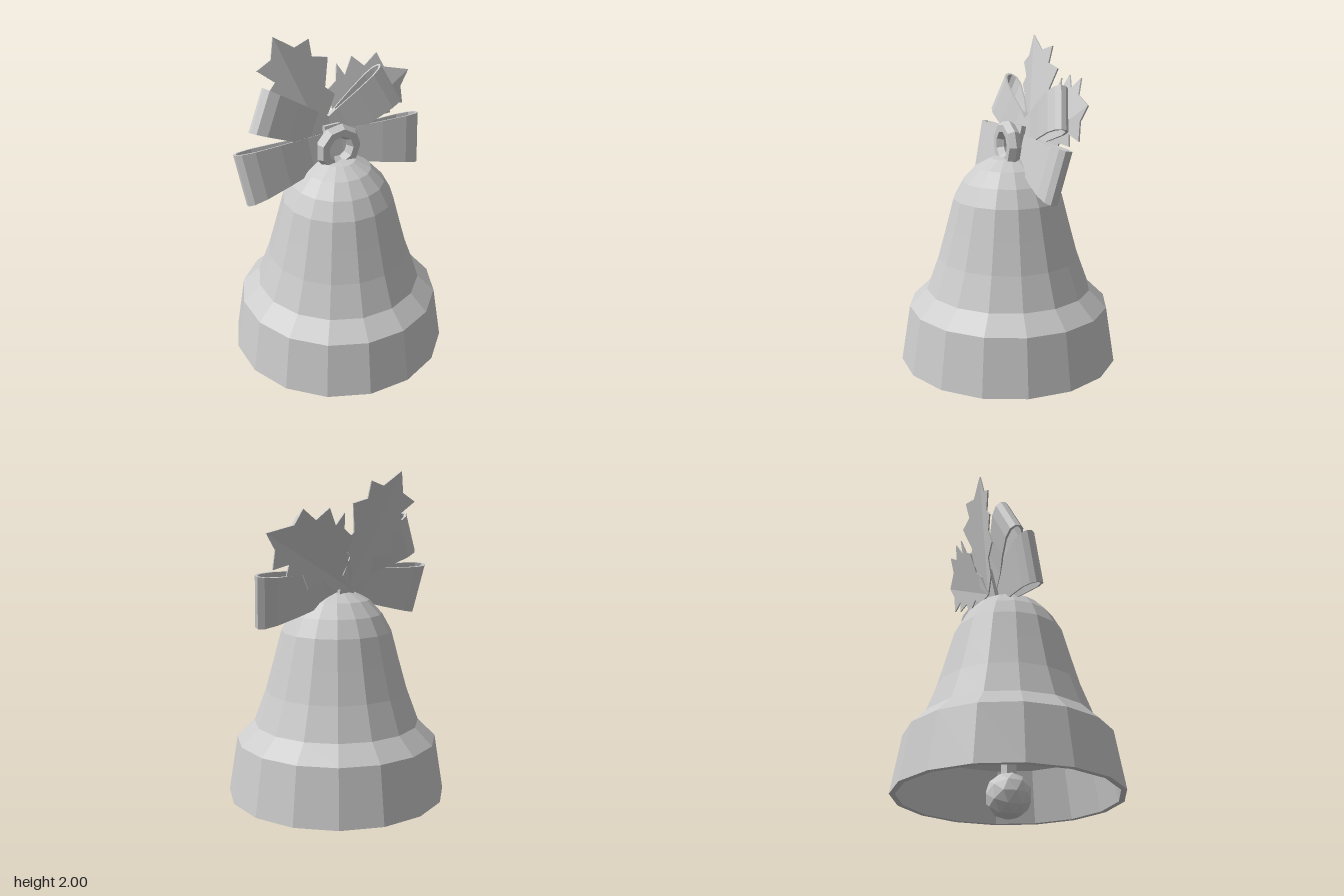
import * as THREE from 'three';

const material = new THREE.MeshStandardMaterial({ color: 0xcccccc, flatShading: true, side: THREE.DoubleSide });
const vec = ([x, y]) => new THREE.Vector2(x, y);

function add(parent, name, geometry, x = 0, y = 0, z = 0) {
  const mesh = new THREE.Mesh(geometry, material);
  mesh.name = name;
  mesh.position.set(x, y, z);
  parent.add(mesh);
  return mesh;
}

// Ribbon loop along +x: a hollow lens outline, extruded and widened towards its outer end
function loopGeometry(length, innerWidth, outerWidth) {
  const half = [[0, 0.014], [0.25, 0.02], [0.55, 0.042], [0.82, 0.052], [0.95, 0.04], [1, 0.014]];
  const outline = (pts) => [...pts, ...pts.slice().reverse().map(([x, y]) => [x, -y])].map(vec);
  const shape = new THREE.Shape(outline(half.map(([x, y]) => [x * length, y])));
  const inner = half.slice(1).map(([x, y]) => [x * length - 0.012, Math.max(y - 0.011, 0.008)]);
  shape.holes.push(new THREE.Path(outline(inner)));
  const geometry = new THREE.ExtrudeGeometry(shape, { depth: 1, bevelEnabled: false });
  geometry.translate(0, 0, -0.5).rotateX(Math.PI / 2);
  const p = geometry.attributes.position;
  for (let i = 0; i < p.count; i++) {
    const t = p.getX(i) / length;
    p.setY(i, p.getY(i) * THREE.MathUtils.lerp(innerWidth, outerWidth, t));
  }
  geometry.computeVertexNormals();
  return geometry;
}

// Spiky leaf: two thin halves folded back from the midrib (base to tip)
function addLeaf(parent, name, base, tip, sides) {
  const leaf = new THREE.Group();
  leaf.name = name;
  const dir = vec(tip).sub(vec(base)).normalize();
  for (const side of sides) {
    const shape = new THREE.Shape([base, ...side, tip].map(vec));
    const geometry = new THREE.ExtrudeGeometry(shape, { depth: 0.008, bevelEnabled: false });
    const p = geometry.attributes.position;
    for (let i = 0; i < p.count; i++) {
      const away = Math.abs((p.getX(i) - base[0]) * dir.y - (p.getY(i) - base[1]) * dir.x);
      p.setZ(i, p.getZ(i) - 0.14 * away);
    }
    geometry.translate(0, -1.4, 0).scale(1, 1.045, 1);
    geometry.computeVertexNormals();
    add(leaf, 'leafHalf', geometry, 0, 0, -0.06);
  }
  parent.add(leaf);
}

export function createModel() {
  const model = new THREE.Group();
  model.name = 'bell';

  // Bell shell: up the inside, round the rim, up the outside
  const profile = [
    [0, 1.29], [0.18, 1.22], [0.29, 1.04], [0.38, 0.7], [0.45, 0.52], [0.55, 0.43], [0.61, 0.12],
    [0.642, 0.12], [0.588, 0.45], [0.485, 0.55], [0.415, 0.74], [0.365, 0.92],
    [0.32, 1.09], [0.265, 1.19], [0.19, 1.27], [0.1, 1.32], [0, 1.33],
  ];
  add(model, 'bellShell', new THREE.LatheGeometry(profile.map(vec), 16, THREE.MathUtils.degToRad(10)));

  // Clapper
  add(model, 'clapperBall', new THREE.IcosahedronGeometry(0.13, 1), 0, 0.13, 0);
  add(model, 'clapperRod', new THREE.CylinderGeometry(0.045, 0.045, 1.05, 6), 0, 0.75, 0);

  // Hanging ring
  add(model, 'hangingRing', new THREE.TorusGeometry(0.1, 0.042, 6, 9), 0, 1.395, 0.005);

  // Bow and leaves lean back together
  const bow = new THREE.Group();
  bow.name = 'bow';
  bow.position.set(0, 1.4, -0.08);
  bow.rotation.x = -0.22;
  model.add(bow);

  add(bow, 'knot', new THREE.BoxGeometry(0.1, 0.2, 0.08));
  const lower = loopGeometry(0.575, 0.17, 0.3);
  const upper = loopGeometry(0.475, 0.17, 0.25);
  for (const left of [true, false]) {
    const angle = (a) => (left ? a : Math.PI - a);
    const side = left ? 'left' : 'right';
    add(bow, side + 'LowerLoop', lower, 0, -0.03, 0).rotation.z = angle(-0.12);
    add(bow, side + 'UpperLoop', upper, 0, 0.045, -0.005).rotation.z = angle(0.47);
  }

  addLeaf(bow, 'rightLeaf', [0, 1.36], [-0.25, 1.995], [
    [[-0.12, 1.42], [-0.13, 1.53], [-0.26, 1.56], [-0.23, 1.65], [-0.31, 1.71],
      [-0.265, 1.76], [-0.36, 1.835], [-0.275, 1.88]],
    [[0.07, 1.44], [0.04, 1.54], [0.1, 1.63], [0.04, 1.68], [0.085, 1.835],
      [-0.02, 1.855], [-0.025, 1.95], [-0.125, 1.92]],
  ]);
  addLeaf(bow, 'leftLeaf', [0, 1.36], [0.59, 1.685], [
    [[0.01, 1.48], [0.07, 1.54], [0.06, 1.66], [0.12, 1.7], [0.14, 1.79], [0.18, 1.72],
      [0.24, 1.815], [0.31, 1.75], [0.4, 1.81], [0.435, 1.725]],
    [[0.12, 1.36], [0.2, 1.42], [0.3, 1.38], [0.34, 1.46], [0.45, 1.46],
      [0.435, 1.52], [0.54, 1.5], [0.53, 1.6]],
  ]);

  return model;
}
